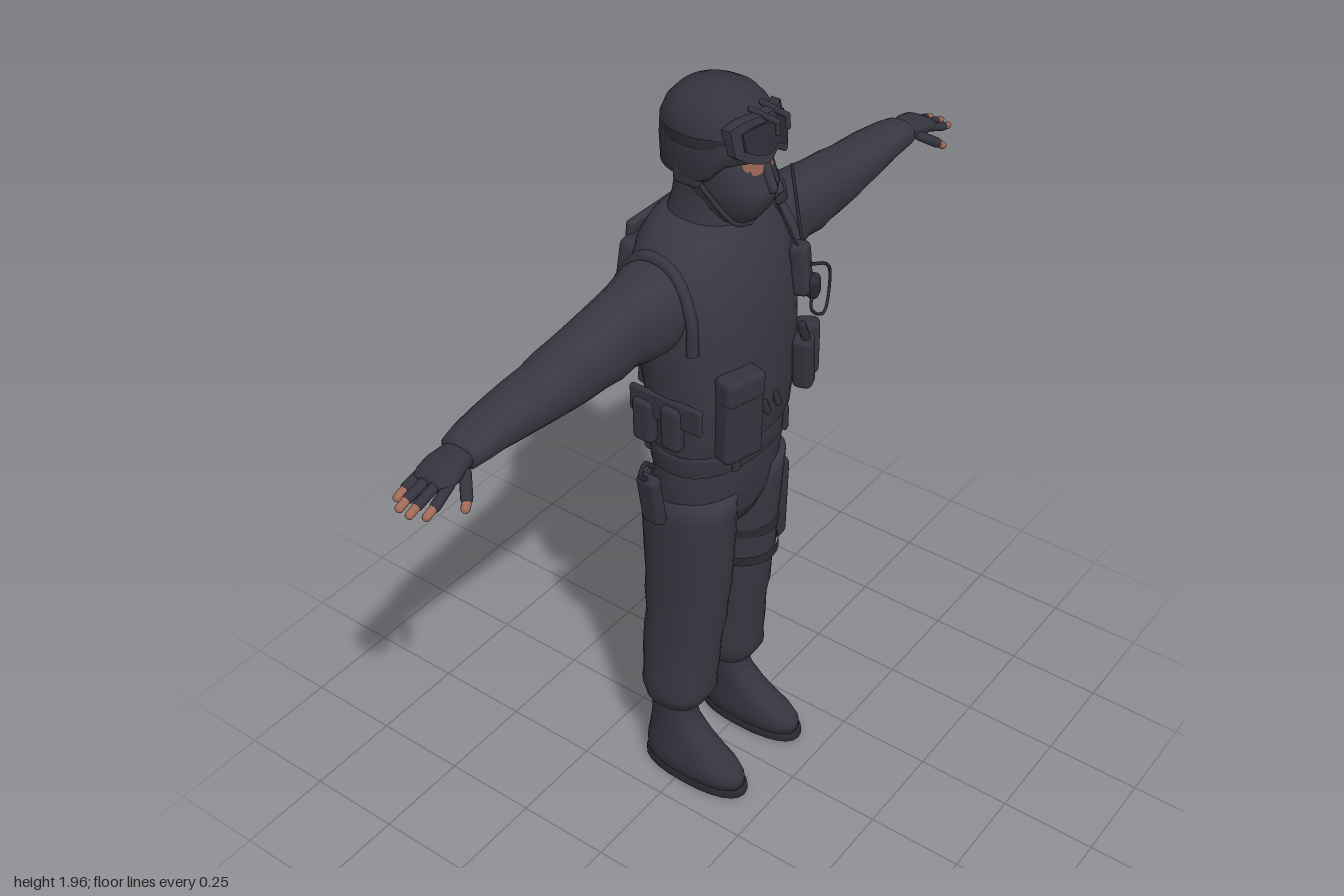
import * as THREE from 'three';
import { RoundedBoxGeometry } from 'three/addons/geometries/RoundedBoxGeometry.js';

const mat = (name, color) => Object.assign(new THREE.MeshStandardMaterial({ color }), { name });
const suit = mat('suit cloth', 0x383843);
const gear = mat('gear', 0x34343f);
const dark = mat('dark rubber', 0x2b2b34);
const skin = mat('skin', 0xa06a56);

// Skin of rings stacked along y; each section is [y, centreX, zBack, zFront, radiusX, power]
function loft(sections, seg = 28) {
  const pos = [], idx = [], n = sections.length;
  for (const [y, cx, zb, zf, rx, p = 2.3] of sections) {
    for (let i = 0; i < seg; i++) {
      const a = (i / seg) * Math.PI * 2, c = Math.cos(a), s = Math.sin(a);
      const bend = (v) => Math.sign(v) * Math.pow(Math.abs(v), 2 / p);
      pos.push(cx + rx * bend(s), y, (zb + zf) / 2 + ((zf - zb) / 2) * bend(c));
    }
  }
  for (let j = 0; j < n - 1; j++) for (let i = 0; i < seg; i++) {
    const a = j * seg + i, b = j * seg + (i + 1) % seg, c = a + seg, d = b + seg;
    idx.push(a, b, d, a, d, c);
  }
  // End caps
  for (const [j, flip] of [[0, true], [n - 1, false]]) {
    const [y, cx, zb, zf] = sections[j], k = pos.length / 3;
    pos.push(cx, y, (zb + zf) / 2);
    for (let i = 0; i < seg; i++) {
      const a = j * seg + i, b = j * seg + (i + 1) % seg;
      flip ? idx.push(k, b, a) : idx.push(k, a, b);
    }
  }
  const g = new THREE.BufferGeometry();
  g.setAttribute('position', new THREE.Float32BufferAttribute(pos, 3));
  g.setIndex(idx);
  g.computeVertexNormals();
  return g;
}

// Move every vertex by a rule
function warp(g, rule) {
  const p = g.attributes.position, v = new THREE.Vector3();
  for (let i = 0; i < p.count; i++) {
    rule(v.fromBufferAttribute(p, i));
    p.setXYZ(i, v.x, v.y, v.z);
  }
  g.computeVertexNormals();
  return g;
}

export function createModel() {
  const model = new THREE.Group();
  model.name = 'tacticalOfficer';
  const add = (name, g, m, p = [0, 0, 0], r = [0, 0, 0]) => {
    const mesh = new THREE.Mesh(g, m);
    mesh.name = name;
    mesh.position.set(...p);
    mesh.rotation.set(...r);
    model.add(mesh);
    return mesh;
  };
  const pouch = (name, size, p, r, m = gear, round = 0.016) =>
    add(name, new RoundedBoxGeometry(...size, 3, Math.min(round, Math.min(...size) * 0.45)), m, p, r);
  const tube = (name, pts, radius, m = gear) => add(name, new THREE.TubeGeometry(
    new THREE.CatmullRomCurve3(pts.map((p) => new THREE.Vector3(...p))), 24, radius, 6), m);
  const rod = (name, a, b, radius, m) => {
    const A = new THREE.Vector3(...a), B = new THREE.Vector3(...b), d = B.clone().sub(A);
    const mesh = add(name, new THREE.CapsuleGeometry(radius, d.length(), 4, 10), m);
    mesh.position.copy(A).add(B).multiplyScalar(0.5);
    mesh.quaternion.setFromUnitVectors(new THREE.Vector3(0, 1, 0), d.normalize());
  };

  // Trunk: pelvis, belt, vest, collar
  add('pelvis', loft([[0.83, 0, -0.12, 0.09, 0.1], [0.88, 0, -0.13, 0.108, 0.178], [0.95, 0, -0.125, 0.118, 0.19],
    [1.02, 0, -0.11, 0.125, 0.192], [1.12, 0, -0.105, 0.125, 0.19]]), suit);
  add('belt', loft([[1.035, 0, -0.112, 0.128, 0.192], [1.04, 0, -0.118, 0.135, 0.198],
    [1.085, 0, -0.118, 0.137, 0.2], [1.09, 0, -0.11, 0.13, 0.194]]), gear);
  add('vest', loft([[1.09, 0, -0.1, 0.125, 0.19], [1.1, 0, -0.115, 0.14, 0.2], [1.2, 0, -0.125, 0.15, 0.208],
    [1.32, 0, -0.14, 0.152, 0.215], [1.42, 0, -0.152, 0.15, 0.219], [1.5, 0, -0.16, 0.138, 0.214],
    [1.56, 0, -0.16, 0.118, 0.202], [1.6, 0, -0.152, 0.1, 0.178], [1.63, 0, -0.14, 0.085, 0.135],
    [1.65, 0, -0.12, 0.07, 0.09]], 36), suit);
  add('collar', loft([[1.58, 0, -0.13, 0.085, 0.105], [1.64, 0, -0.115, 0.075, 0.088], [1.68, 0, -0.102, 0.07, 0.08],
    [1.72, 0, -0.095, 0.07, 0.076], [1.77, 0, -0.09, 0.07, 0.075]]), suit);

  // Head under its mask, with the eye opening
  add('maskedHead', loft([[1.645, 0, -0.02, 0.085, 0.035], [1.66, 0, -0.05, 0.108, 0.056], [1.69, 0, -0.07, 0.13, 0.07],
    [1.72, 0, -0.08, 0.142, 0.079], [1.745, 0, -0.085, 0.145, 0.084], [1.78, 0, -0.09, 0.128, 0.088],
    [1.84, 0, -0.09, 0.122, 0.09]]), suit);
  add('eyeOpening', new THREE.CylinderGeometry(1, 1, 0.032, 16, 1, true, -0.75, 1.5), skin, [0, 1.798, 0.018])
    .scale.set(0.092, 1, 0.112);
  rod('nose', [0, 1.795, 0.125], [0, 1.745, 0.145], 0.012, suit);

  // Helmet, lower at the ears and nape
  const shell = loft([[1.815, 0, -0.1, 0.105, 0.098], [1.82, 0, -0.12, 0.132, 0.114], [1.85, 0, -0.122, 0.13, 0.116],
    [1.88, 0, -0.12, 0.122, 0.112], [1.91, 0, -0.108, 0.107, 0.1], [1.935, 0, -0.085, 0.083, 0.08],
    [1.952, 0, -0.05, 0.05, 0.048], [1.96, 0, -0.01, 0.01, 0.01]], 36);
  add('helmet', warp(shell, (v) => {
    if (v.y < 1.86) v.y -= 0.045 * THREE.MathUtils.smoothstep(0.09 - v.z, 0, 0.06) * (1.86 - v.y) / 0.04;
  }), gear);
  add('goggleStrap', new THREE.CylinderGeometry(1, 1, 0.025, 36, 1, true), dark, [0, 1.865, 0.003])
    .scale.set(0.119, 1, 0.128);
  dark.side = THREE.DoubleSide;

  // Goggles wrapped round the helmet
  const visor = (w, h, d) => warp(new THREE.BoxGeometry(w, h, d, 20, 6, 1), (v) => {
    const t = Math.abs(v.x) / (w / 2);
    v.y *= 1 - 0.45 * t ** 4;
    if (v.y < 0) v.y *= 1 - 0.4 * Math.exp(-((v.x / 0.018) ** 2));
    v.z -= v.x * v.x * 5.4 + v.y * 0.25;
  });
  add('goggleFrame', visor(0.18, 0.1, 0.024), gear, [0, 1.873, 0.137]);
  add('goggleLens', visor(0.148, 0.066, 0.008), dark, [0, 1.875, 0.149]);
  for (const s of [-1, 1]) {
    rod('mountClip', [s * 0.02, 1.925, 0.1], [s * 0.018, 1.915, 0.165], 0.007, gear);
    rod('mountHook', [s * 0.018, 1.915, 0.165], [s * 0.018, 1.89, 0.168], 0.006, gear);
    tube('chinStrap', [[s * 0.1, 1.79, 0], [s * 0.088, 1.73, 0.045], [s * 0.055, 1.665, 0.085], [0, 1.643, 0.09]], 0.006);
    pouch('earCup', [0.03, 0.07, 0.07], [s * 0.098, 1.785, -0.005]);
  }
  tube('microphoneBoom', [[0.105, 1.77, 0.02], [0.1, 1.73, 0.08], [0.07, 1.71, 0.13], [0.03, 1.712, 0.15]], 0.004);
  rod('microphone', [0.035, 1.712, 0.149], [0.015, 1.712, 0.152], 0.01, dark);

  // Sleeve: [x, centre y, half height, z back, z front]
  const sleeve = [[0.12, 1.5, 0.09, -0.12, 0.05], [0.19, 1.492, 0.107, -0.124, 0.062], [0.23, 1.488, 0.103, -0.12, 0.06],
    [0.28, 1.487, 0.098, -0.108, 0.052], [0.33, 1.49, 0.088, -0.102, 0.046], [0.38, 1.486, 0.086, -0.1, 0.05],
    [0.43, 1.483, 0.078, -0.1, 0.045], [0.48, 1.478, 0.075, -0.1, 0.04], [0.53, 1.478, 0.066, -0.102, 0.042],
    [0.58, 1.476, 0.062, -0.094, 0.034], [0.63, 1.477, 0.054, -0.096, 0.034], [0.68, 1.477, 0.051, -0.092, 0.028],
    [0.73, 1.476, 0.043, -0.09, 0.024], [0.78, 1.475, 0.038, -0.084, 0.022], [0.82, 1.473, 0.033, -0.076, 0.018],
    [0.83, 1.473, 0.024, -0.066, 0.008]];
  const palm = [[0.8, 1.474, 0.023, -0.062, 0.008], [0.84, 1.474, 0.024, -0.064, 0.014], [0.87, 1.472, 0.024, -0.068, 0.024],
    [0.9, 1.468, 0.021, -0.067, 0.028], [0.92, 1.463, 0.015, -0.06, 0.022]];
  // Trouser leg and boot: [y, centre x, z back, z front, half width]
  const trouser = [[0.235, 0.112, -0.1, 0.005, 0.05], [0.24, 0.11, -0.125, 0.035, 0.072], [0.28, 0.104, -0.14, 0.058, 0.086],
    [0.32, 0.102, -0.138, 0.058, 0.083], [0.38, 0.1, -0.142, 0.066, 0.08], [0.46, 0.097, -0.138, 0.07, 0.08],
    [0.52, 0.095, -0.13, 0.082, 0.083], [0.58, 0.094, -0.135, 0.086, 0.083], [0.64, 0.094, -0.13, 0.096, 0.085],
    [0.72, 0.094, -0.132, 0.1, 0.088], [0.8, 0.095, -0.132, 0.105, 0.092], [0.88, 0.097, -0.13, 0.11, 0.095],
    [0.95, 0.098, -0.12, 0.115, 0.09]];
  const boot = [[0.018, 0.126, -0.124, 0.175, 0.058], [0.05, 0.126, -0.126, 0.174, 0.06], [0.075, 0.124, -0.126, 0.155, 0.057],
    [0.1, 0.122, -0.122, 0.115, 0.052], [0.13, 0.12, -0.118, 0.07, 0.049], [0.17, 0.118, -0.112, 0.025, 0.047],
    [0.21, 0.117, -0.11, 0.008, 0.047], [0.3, 0.116, -0.115, 0.005, 0.05]];
  const sole = [[0, 0.126, -0.126, 0.178, 0.058], [0.003, 0.126, -0.13, 0.183, 0.062], [0.022, 0.126, -0.13, 0.183, 0.062],
    [0.025, 0.126, -0.125, 0.176, 0.058]];

  for (const s of [-1, 1]) {
    const side = s > 0 ? 'left' : 'right';
    const across = (list) => loft(list.map(([x, cy, h, zb, zf]) => [x, -s * cy, zb, zf, h]), 24).rotateZ(-s * Math.PI / 2);
    const upright = (list) => loft(list.map(([y, cx, ...rest]) => [y, s * cx, ...rest]), 24);
    add(side + 'Sleeve', across(sleeve), suit);
    add(side + 'Glove', across(palm), gear);
    // Fingers with bare tips, and thumb
    [[-0.055, -0.062, 0.96], [-0.032, -0.036, 0.982], [-0.008, -0.006, 0.985], [0.016, 0.024, 0.97]].forEach(([z0, z1, x]) => {
      rod(side + 'Finger', [s * 0.9, 1.464, z0], [s * (x - 0.02), 1.447, z1], 0.0115, gear);
      rod(side + 'Fingertip', [s * (x - 0.015), 1.446, z1], [s * (x + 0.005), 1.439, z1], 0.0095, skin);
    });
    rod(side + 'Thumb', [s * 0.85, 1.46, 0.012], [s * 0.885, 1.435, 0.045], 0.013, gear);
    rod(side + 'ThumbTip', [s * 0.89, 1.431, 0.049], [s * 0.9, 1.424, 0.054], 0.01, skin);
    add(side + 'Trouser', upright(trouser), suit);
    add(side + 'Boot', upright(boot), gear);
    add(side + 'Sole', upright(sole), dark);
    // Vest shoulder strap, back pad and side pouches
    tube(side + 'ArmholeRim', [[s * 0.2, 1.4, 0.08], [s * 0.2, 1.5, 0.075], [s * 0.192, 1.59, 0.02],
      [s * 0.19, 1.6, -0.06], [s * 0.2, 1.5, -0.125], [s * 0.205, 1.4, -0.11]], 0.014, suit);
    pouch(side + 'BackPad', [0.1, 0.2, 0.04], [s * 0.125, 1.49, -0.147], [0.1, s * -0.25, s * 0.15]);
    pouch(side + 'SideStrap', [0.016, 0.07, 0.2], [s * 0.208, 1.23, 0.01]);
    pouch(side + 'SidePouch', [0.035, 0.12, 0.055], [s * 0.212, 1.19, 0.03]);
    pouch(side + 'RearSidePouch', [0.035, 0.12, 0.06], [s * 0.208, 1.18, -0.05]);
    pouch(side + 'BeltLoop', [0.022, 0.065, 0.012], [s * 0.1, 1.075, 0.128], [0, s * 0.3, 0]);
    rod(side + 'VestToggle', [s * 0.022, 1.2, 0.15], [s * 0.022, 1.18, 0.158], 0.009, dark);
  }

  // Chest and belt equipment
  pouch('chestPouch', [0.11, 0.225, 0.055], [-0.122, 1.225, 0.15], [0, -0.25, -0.02]);
  pouch('chestPouchFlap', [0.112, 0.07, 0.06], [-0.122, 1.305, 0.152], [0, -0.25, -0.02]);
  pouch('magazinePouch', [0.05, 0.15, 0.05], [0.135, 1.23, 0.15], [0, 0.3, 0.12]);
  pouch('toolPouch', [0.05, 0.14, 0.06], [0.185, 1.235, 0.125], [0, 0.6, -0.08]);
  rod('toolHandle', [0.13, 1.28, 0.165], [0.115, 1.34, 0.155], 0.011, dark);
  pouch('radio', [0.05, 0.13, 0.045], [0.135, 1.475, 0.135], [-0.1, 0.3, 0]);
  rod('radioAntenna', [0.152, 1.53, 0.125], [0.153, 1.715, 0.09], 0.004, dark);
  pouch('radioSwitch', [0.04, 0.06, 0.03], [0.15, 1.43, 0.16], [0, 0.3, 0.1], dark);
  tube('headsetCable', [[0.1, 1.76, 0.03], [0.09, 1.69, 0.075], [0.115, 1.6, 0.1], [0.125, 1.53, 0.135]], 0.003, dark);
  tube('radioCable', [[0.14, 1.49, 0.155], [0.19, 1.47, 0.17], [0.21, 1.4, 0.165], [0.175, 1.35, 0.175], [0.13, 1.38, 0.17],
    [0.14, 1.44, 0.168]], 0.004, dark);
  pouch('hipPouch', [0.13, 0.19, 0.085], [0.158, 1.015, -0.145], [0, -0.5, 0]);
  pouch('hipPouchFlap', [0.134, 0.06, 0.092], [0.158, 1.085, -0.145], [0, -0.5, 0]);
  pouch('rearBeltPouch', [0.1, 0.1, 0.05], [-0.05, 1.03, -0.125]);
  pouch('batonHolder', [0.035, 0.15, 0.06], [-0.218, 0.96, -0.03], [0, 0, 0.16]);
  tube('batonLoop', [[-0.225, 1.02, -0.03], [-0.255, 1.05, -0.03], [-0.24, 1.075, -0.03], [-0.21, 1.05, -0.03]], 0.007, dark);
  pouch('thighHolster', [0.065, 0.25, 0.15], [0.222, 0.705, -0.025], [0, 0, -0.04], gear, 0.025);
  pouch('holsterHanger', [0.014, 0.24, 0.05], [0.193, 0.92, -0.04]);
  for (const y of [0.65, 0.74]) {
    add('thighStrap', new THREE.CylinderGeometry(1, 1, 0.03, 28, 1, true), dark, [0.094, y, -0.016], [0, 0, 0.12])
      .scale.set(0.094, 1, 0.123);
  }

  // Back panels and patch
  pouch('upperBackPanel', [0.25, 0.1, 0.02], [0, 1.57, -0.154], [0.1, 0, 0], suit);
  pouch('lowerBackPanel', [0.2, 0.24, 0.03], [0, 1.29, -0.133], [0.14, 0, 0]);
  pouch('spinePanel', [0.1, 0.14, 0.02], [0, 1.46, -0.153]);
  for (const [x, r] of [[-0.025, 0.011], [0.022, 0.015]]) {
    add('backPatch', new THREE.CylinderGeometry(r, r, 0.004, 8), skin, [x, 1.583, -0.1635], [Math.PI / 2 + 0.1, 0, 0]);
  }
  return model;
}
